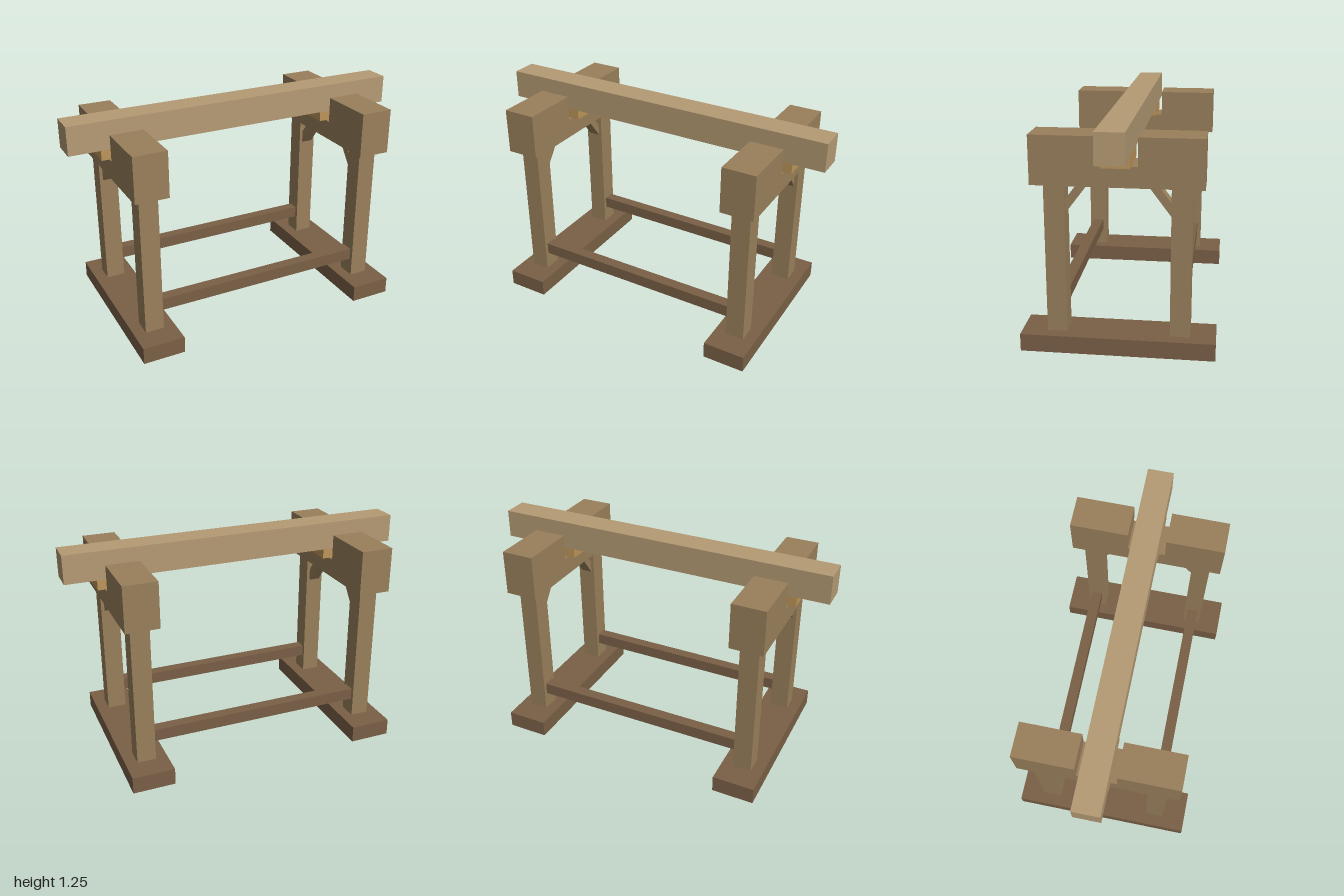
import * as THREE from 'three';

const darkWood = new THREE.MeshStandardMaterial({ color: 0x7a6046 });
const midWood = new THREE.MeshStandardMaterial({ color: 0x9a805c });
const lightWood = new THREE.MeshStandardMaterial({ color: 0xb59b74 });
const wedgeWood = new THREE.MeshStandardMaterial({ color: 0xbe965a });

function box(name, size, position, material) {
  const mesh = new THREE.Mesh(new THREE.BoxGeometry(...size), material);
  mesh.name = name;
  mesh.position.set(...position);
  return mesh;
}

// Side outline given as [z, y] points, extruded along x and centred on it
function profile(name, points, width, material) {
  const shape = new THREE.Shape(points.map(([z, y]) => new THREE.Vector2(-z, y)));
  const geometry = new THREE.ExtrudeGeometry(shape, { depth: width, bevelEnabled: false });
  geometry.translate(0, 0, -width / 2).rotateY(Math.PI / 2);
  const mesh = new THREE.Mesh(geometry, material);
  mesh.name = name;
  return mesh;
}

function trestle() {
  const group = new THREE.Group();
  group.name = 'trestle';
  group.add(box('foot', [0.242, 0.097, 1.04], [0, 0.0485, 0], darkWood));

  // Header block with a notch that cradles the beam
  group.add(profile('notchedHeader', [
    [-0.445, 0.92], [0.445, 0.92], [0.445, 1.18], [0.11, 1.18],
    [0.11, 1.03], [-0.11, 1.03], [-0.11, 1.18], [-0.445, 1.18],
  ], 0.19, midWood));
  group.add(box('beamPad', [0.275, 0.057, 0.15], [0, 1.0585, 0], wedgeWood));

  // Posts with diagonal braces under the header
  for (const s of [1, -1]) {
    group.add(box('post', [0.108, 0.823, 0.108], [0, 0.5085, s * 0.329], midWood));
    group.add(profile('brace', [
      [s * 0.275, 0.757], [s * 0.275, 0.83], [s * 0.207, 0.92], [s * 0.153, 0.92],
    ], 0.07, midWood));
  }
  return group;
}

export function createModel() {
  const model = new THREE.Group();
  model.name = 'trestleStand';

  // End frames
  for (const s of [1, -1]) {
    const frame = trestle();
    frame.position.x = s * 0.685;
    model.add(frame);
  }

  // Long stretchers joining the posts
  for (const s of [1, -1]) {
    model.add(box('stretcher', [1.27, 0.07, 0.065], [0, 0.235, s * 0.329], darkWood));
  }

  model.add(box('topBeam', [2, 0.163, 0.15], [0, 1.1685, 0], lightWood));
  return model;
}
